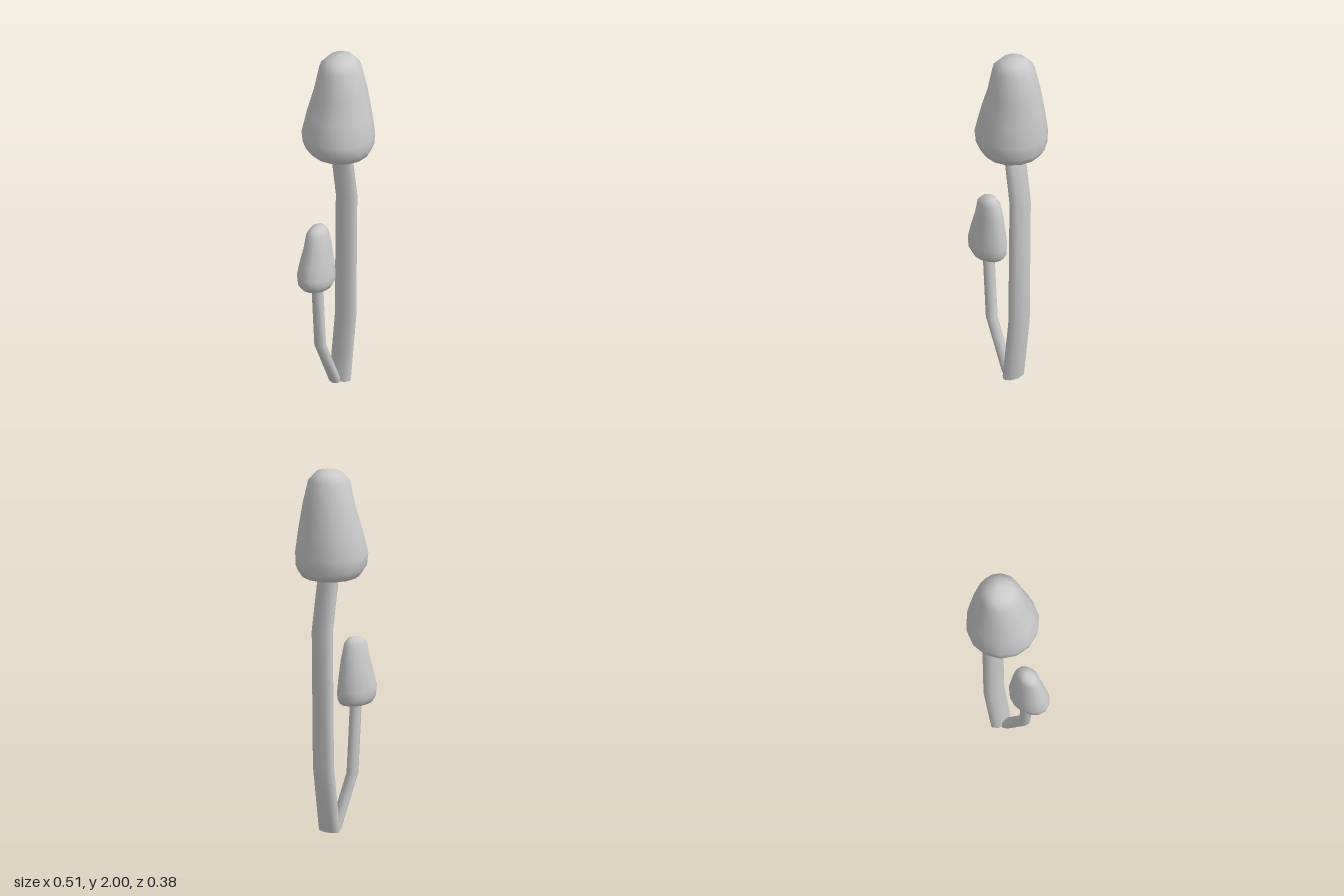
import * as THREE from 'three';
import { mergeVertices } from 'three/addons/utils/BufferGeometryUtils.js';

const material = new THREE.MeshStandardMaterial({ color: 0xcccccc, side: THREE.DoubleSide });

// Smooth skin over rings listed from top to bottom.
// Each ring: [left x, left y, right x, right y, half depth]
function loft(name, rings, sides) {
  const positions = [], index = [];
  rings.forEach(([xl, yl, xr, yr, depth], r) => {
    for (let i = 0; i < sides; i++) {
      const a = (i / sides) * Math.PI * 2;
      const t = (1 + Math.cos(a)) / 2;
      positions.push(xl + (xr - xl) * t, yl + (yr - yl) * t, Math.sin(a) * depth);
      if (r === 0) continue;
      const j = (i + 1) % sides, up = (r - 1) * sides, down = r * sides;
      index.push(up + i, up + j, down + i, up + j, down + j, down + i);
    }
  });
  let geometry = new THREE.BufferGeometry();
  geometry.setAttribute('position', new THREE.Float32BufferAttribute(positions, 3));
  geometry.setIndex(index);
  geometry = mergeVertices(geometry);
  geometry.computeVertexNormals();
  const mesh = new THREE.Mesh(geometry, material);
  mesh.name = name;
  return mesh;
}

// Bent stem through centre points [x, y], closed flat at the foot
function stem(name, points, rx, rz) {
  const group = new THREE.Group();
  group.name = name;
  const rings = points.map(([x, y]) => [x - rx, y, x + rx, y, rz]);
  const foot = points[points.length - 1];
  group.add(
    loft(name + 'Shaft', rings, 8),
    loft(name + 'Foot', [rings[rings.length - 1], [foot[0], foot[1], foot[0], foot[1], 0]], 8)
  );
  return group;
}

// Lopsided bell cap, with its lower rim at y = 0 and leftmost point at x = 0
const capRings = [
  [0.23, 0.6, 0.23, 0.6, 0],
  [0.145, 0.578, 0.29, 0.583, 0.07],
  [0.1, 0.53, 0.33, 0.535, 0.112],
  [0.072, 0.39, 0.36, 0.41, 0.14],
  [0.03, 0.26, 0.38, 0.26, 0.172],
  [0, 0.14, 0.393, 0.13, 0.195],
  [0.008, 0.075, 0.39, 0.055, 0.19],
  [0.05, 0.018, 0.362, 0.012, 0.16],
  [0.11, 0, 0.31, 0, 0.11],
  [0.15, 0.025, 0.265, 0.025, 0.06],
  [0.21, 0.035, 0.21, 0.035, 0]
];

export function createModel() {
  const model = new THREE.Group();
  model.name = 'mushrooms';

  // Tall mushroom
  const tallCap = loft('tallCap', capRings, 14);
  tallCap.position.set(-0.14, 1.4, 0);
  model.add(tallCap, stem('tallStem',
    [[0.075, 1.45], [0.083, 1.4], [0.128, 1.11], [0.119, 0.36], [0.073, 0]], 0.043, 0.069));

  // Small mushroom
  const smallCap = loft('smallCap', capRings, 14);
  smallCap.position.set(-0.257, 0.66, 0);
  smallCap.scale.set(0.625, 0.625, 0.465);
  model.add(smallCap, stem('smallStem',
    [[-0.127, 0.69], [-0.1, 0.285], [0.03, 0]], 0.031, 0.032));

  return model;
}
